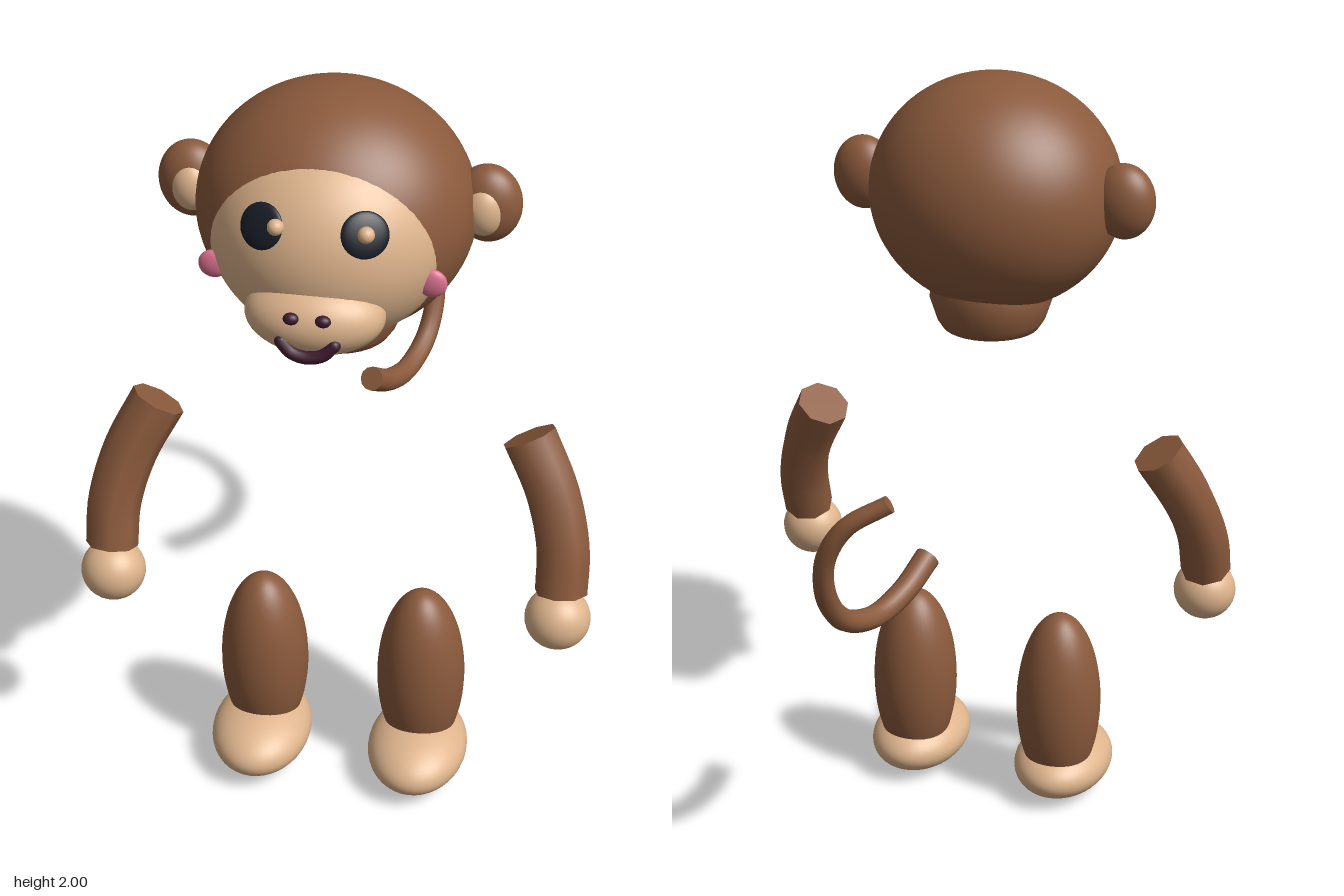
import * as THREE from 'three';
import { mergeGeometries } from 'three/addons/utils/BufferGeometryUtils.js';

function makeMaterial(name, color) {
  const m = new THREE.MeshStandardMaterial({ color });
  m.name = name;
  return m;
}

const V = (p) => new THREE.Vector3(...p);

// Smooth ellipsoid at a centre with three radii
function ellipsoid(name, material, center, radii, w = 40, h = 28, thetaLength = Math.PI) {
  const mesh = new THREE.Mesh(new THREE.SphereGeometry(1, w, h, 0, Math.PI * 2, 0, thetaLength), material);
  mesh.name = name;
  mesh.position.set(...center);
  mesh.scale.set(...radii);
  return mesh;
}

// Tapered tube along a curve with flat end caps
function taperedTube(name, material, points, r0, r1, segments, sides) {
  const curve = new THREE.CatmullRomCurve3(points.map(V));
  const tube = new THREE.TubeGeometry(curve, segments, 1, sides, false);
  const pos = tube.attributes.position;
  const v = new THREE.Vector3();
  const rings = [];
  for (let i = 0; i <= segments; i++) {
    const c = curve.getPointAt(i / segments);
    const r = r0 + (r1 - r0) * (i / segments);
    const ring = [];
    for (let j = 0; j <= sides; j++) {
      const k = i * (sides + 1) + j;
      v.fromBufferAttribute(pos, k).sub(c).multiplyScalar(r).add(c);
      pos.setXYZ(k, v.x, v.y, v.z);
      ring.push(v.clone());
    }
    rings.push(ring);
  }
  const cap = (ring, u, sign) => {
    const c = curve.getPointAt(u);
    const out = curve.getTangentAt(u).multiplyScalar(sign);
    const tri = [];
    for (let j = 0; j < sides; j++) {
      const a = ring[j], b = ring[j + 1];
      const n = a.clone().sub(c).cross(b.clone().sub(c));
      tri.push(c, ...(n.dot(out) > 0 ? [a, b] : [b, a]));
    }
    const g = new THREE.BufferGeometry().setFromPoints(tri);
    g.computeVertexNormals();
    return g;
  };
  const body = tube.toNonIndexed();
  body.deleteAttribute('uv');
  const mesh = new THREE.Mesh(mergeGeometries([body, cap(rings[0], 0, -1), cap(rings[segments], 1, 1)]), material);
  mesh.name = name;
  return mesh;
}

export function createModel() {
  const fur = makeMaterial('brown fur', 0x8b5a3c);
  const skin = makeMaterial('tan skin', 0xdeb48c);
  const black = makeMaterial('eye black', 0x1a1d28);
  const plum = makeMaterial('mouth plum', 0x3d1a2e);
  const pink = makeMaterial('cheek pink', 0xd9708f);

  const model = new THREE.Group();
  model.name = 'monkey';

  // Head with face patch and muzzle
  const head = new THREE.Group();
  head.name = 'head';
  model.add(head);
  const faceCenter = [0, 1.685, 0.33], faceRadii = [0.285, 0.265, 0.27];
  head.add(ellipsoid('skull', fur, [0, 1.7, 0.27], [0.325, 0.3, 0.29], 64, 40));
  head.add(ellipsoid('face', skin, faceCenter, faceRadii, 64, 40));
  head.add(ellipsoid('muzzle', skin, [0, 1.573, 0.54], [0.16, 0.092, 0.105]));

  // Smiling mouth
  const smile = [[-0.06, 1.548, 0.632], [-0.036, 1.524, 0.637], [0, 1.515, 0.639], [0.036, 1.524, 0.637], [0.06, 1.548, 0.632]];
  head.add(taperedTube('mouth', plum, smile, 0.015, 0.015, 24, 12));
  for (const p of [smile[0], smile[4]]) head.add(ellipsoid('mouthCorner', plum, p, [0.015, 0.015, 0.015], 12, 8));

  // Neck with a shallow pointed underside
  const profile = [[0, 1.315], [0.125, 1.352], [0.14, 1.375], [0.158, 1.43], [0.15, 1.47]];
  const neck = new THREE.Mesh(new THREE.LatheGeometry(profile.map((p) => new THREE.Vector2(...p)), 32), fur);
  neck.name = 'neck';
  neck.position.z = 0.24;
  head.add(neck);

  // Glints sit off-centre differently in each eye
  head.add(ellipsoid('rightGlint', skin, [-0.08, 1.8, 0.57], [0.019, 0.019, 0.019], 16, 12));
  head.add(ellipsoid('leftGlint', skin, [0.12, 1.798, 0.566], [0.019, 0.019, 0.019], 16, 12));

  for (const s of [1, -1]) {
    const side = s > 0 ? 'left' : 'right';

    // Eye lying flat on the face surface
    const dx = s * 0.115, dy = 1.79 - faceCenter[1];
    const k = Math.sqrt(1 - (dx / faceRadii[0]) ** 2 - (dy / faceRadii[1]) ** 2);
    const eye = ellipsoid(side + 'Eye', black, [dx, 1.79, faceCenter[2] + faceRadii[2] * k], [0.055, 0.053, 0.013], 32, 16);
    const normal = new THREE.Vector3(dx / faceRadii[0] ** 2, dy / faceRadii[1] ** 2, k / faceRadii[2]).normalize();
    eye.quaternion.setFromUnitVectors(new THREE.Vector3(0, 0, 1), normal);
    head.add(eye);

    // Nostril, cheek and ear
    head.add(ellipsoid(side + 'Nostril', plum, [s * 0.036, 1.61, 0.635], [0.018, 0.014, 0.014], 16, 12));
    head.add(ellipsoid(side + 'Cheek', pink, [s * 0.25, 1.624, 0.455], [0.035, 0.035, 0.016], 24, 16));
    head.add(ellipsoid(side + 'Ear', fur, [s * 0.345, 1.72, 0.24], [0.08, 0.096, 0.06]));
    head.add(ellipsoid(side + 'InnerEar', skin, [s * 0.34, 1.717, 0.267], [0.05, 0.064, 0.046]));

    // Eight-sided bent arm and round hand
    const arm = [[0.463, 1.07, 0.215], [0.53, 0.94, 0.26], [0.566, 0.81, 0.305], [0.57, 0.7, 0.34]];
    model.add(taperedTube(side + 'Arm', fur, arm.map(([x, y, z]) => [s * x, y, z]), 0.07, 0.066, 16, 8));
    model.add(ellipsoid(side + 'Hand', skin, [s * 0.566, 0.632, 0.355], [0.082, 0.08, 0.08], 32, 20));

    // Leg cut off inside the foot
    model.add(ellipsoid(side + 'Leg', fur, [s * 0.208, 0.29, 0.22], [0.114, 0.265, 0.114], 40, 28, Math.PI * 0.74));
    const foot = ellipsoid(side + 'Foot', skin, [s * 0.21, 0.085, 0.27], [0.13, 0.083, 0.18]);
    model.add(foot);
  }

  // Curled tail
  model.add(taperedTube('tail', fur, [
    [0, 0.9, -0.22], [0.03, 0.842, -0.31], [0.065, 0.817, -0.41], [0.1, 0.855, -0.52],
    [0.114, 0.95, -0.592], [0.098, 1.07, -0.627], [0.045, 1.16, -0.625], [-0.05, 1.22, -0.592],
  ], 0.032, 0.022, 48, 12));

  return model;
}
